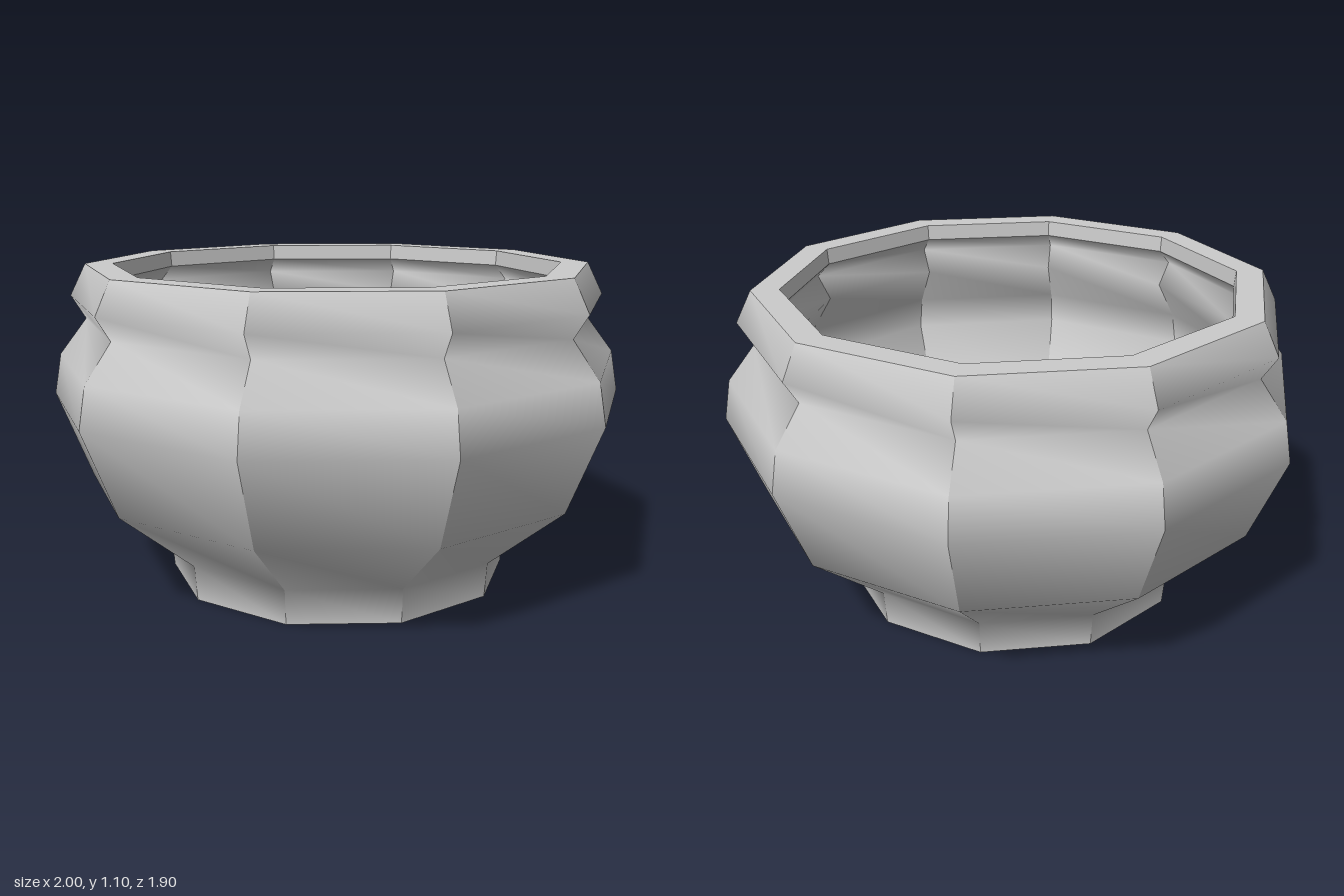
import * as THREE from 'three';
import { mergeGeometries } from 'three/addons/utils/BufferGeometryUtils.js';

const SIDES = 10;

// Ten flat-sided panels swept from a [radius, height] profile:
// smooth along the profile, sharp at the corners between panels.
function panelled(name, profile, material) {
  const points = profile.map(([r, y]) => new THREE.Vector2(r, y));
  const step = (Math.PI * 2) / SIDES;
  const panels = [];
  for (let i = 0; i < SIDES; i++) {
    const panel = new THREE.LatheGeometry(points, 1, Math.PI / 2 + i * step, step);
    panel.computeVertexNormals();
    panels.push(panel);
  }
  const mesh = new THREE.Mesh(mergeGeometries(panels), material);
  mesh.name = name;
  return mesh;
}

export function createModel() {
  const material = new THREE.MeshStandardMaterial({ color: 0xcccccc });
  const group = new THREE.Group();
  group.name = 'bowl';

  // Foot, belly, neck and flared lip, from bottom to top
  const outer = [
    [0.6, 0], [0.61, 0.12], [0.88, 0.345], [1, 0.645],
    [0.975, 0.785], [0.88, 0.91], [0.93, 0.99], [0.875, 1.1],
  ];
  // Hollow inside, from the mouth down to the floor
  const inner = [
    [0.775, 1.045], [0.83, 0.99], [0.78, 0.91], [0.875, 0.765],
    [0.9, 0.645], [0.79, 0.38], [0.55, 0.17], [0.545, 0.1],
  ];

  group.add(
    panelled('base', [[0, 0], [0.6, 0]], material),
    panelled('outerWall', outer, material),
    panelled('rim', [[0.875, 1.1], [0.78, 1.1]], material),
    panelled('mouthEdge', [[0.78, 1.1], [0.775, 1.045]], material),
    panelled('innerWall', inner, material),
    panelled('floor', [[0.545, 0.1], [0, 0.1]], material),
  );
  return group;
}
